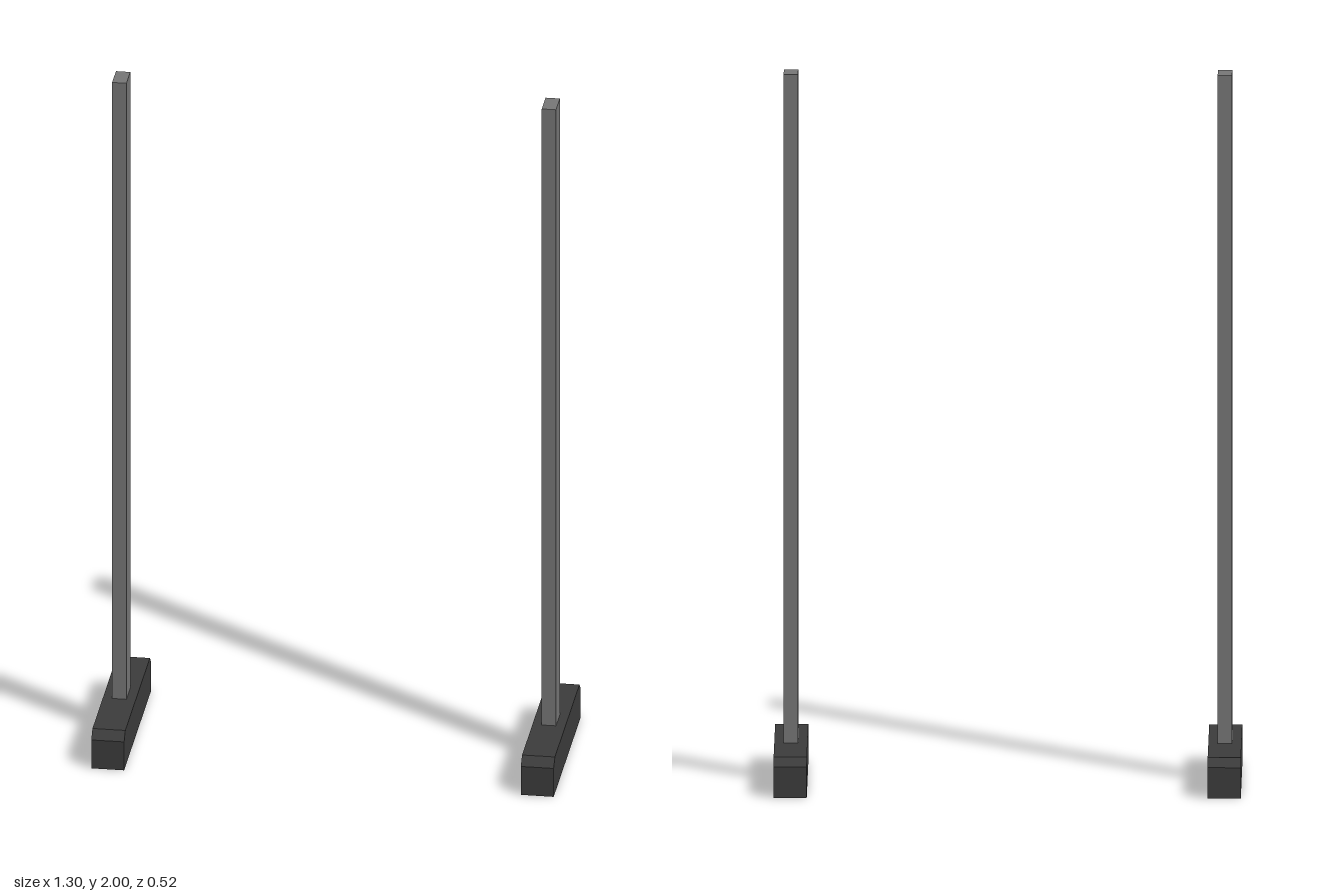
import * as THREE from 'three';

const postGrey = new THREE.MeshStandardMaterial({ name: 'post grey', color: 0x777777 });
const footGrey = new THREE.MeshStandardMaterial({ name: 'foot dark grey', color: 0x3c3c3c });

const FOOT = { width: 0.092, height: 0.111, half: 0.262, bevel: 0.024 };
const POST = { width: 0.04, depth: 0.074 };

// Foot bar: side profile with chamfered upper ends, extruded across x
function footGeometry() {
  const { width, height, half, bevel } = FOOT;
  const profile = new THREE.Shape([
    new THREE.Vector2(-half, 0),
    new THREE.Vector2(half, 0),
    new THREE.Vector2(half, height - bevel),
    new THREE.Vector2(half - bevel, height),
    new THREE.Vector2(-half + bevel, height),
    new THREE.Vector2(-half, height - bevel),
  ]);
  const geometry = new THREE.ExtrudeGeometry(profile, { depth: width, bevelEnabled: false });
  return geometry.translate(0, 0, -width / 2).rotateY(-Math.PI / 2);
}

// One upright standing on its foot
function createStand(name) {
  const stand = new THREE.Group();
  stand.name = name;

  const foot = new THREE.Mesh(footGeometry(), footGrey);
  foot.name = 'foot';

  const postHeight = 2 - FOOT.height;
  const post = new THREE.Mesh(new THREE.BoxGeometry(POST.width, postHeight, POST.depth), postGrey);
  post.name = 'post';
  post.position.y = FOOT.height + postHeight / 2;

  stand.add(foot, post);
  return stand;
}

export function createModel() {
  const model = new THREE.Group();
  model.name = 'pairOfStands';
  for (const [name, side] of [['leftStand', 1], ['rightStand', -1]]) {
    const stand = createStand(name);
    stand.position.x = side * 0.602;
    model.add(stand);
  }
  return model;
}
